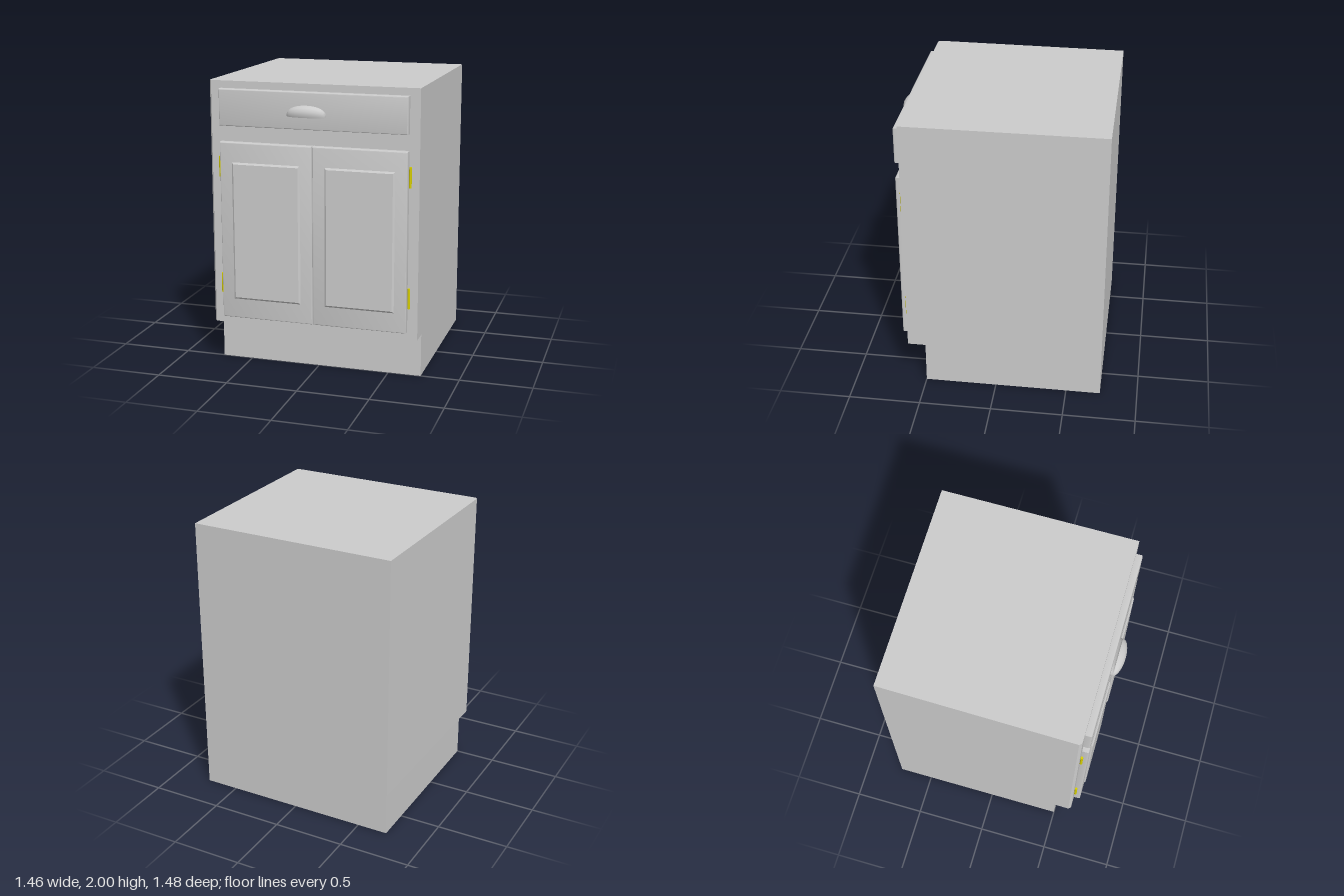
import * as THREE from 'three';
import { toCreasedNormals } from 'three/addons/utils/BufferGeometryUtils.js';

const grey = new THREE.MeshStandardMaterial({ color: 0xcccccc });
const yellow = new THREE.MeshStandardMaterial({ color: 0xd8d000 });

function part(name, geometry, material = grey) {
  const mesh = new THREE.Mesh(geometry, material);
  mesh.name = name;
  return mesh;
}

// Vertical prism from a floor plan given as [x, z] corners
function prism(plan, y0, y1) {
  const shape = new THREE.Shape(plan.map(([x, z]) => new THREE.Vector2(x, -z)));
  const geo = new THREE.ExtrudeGeometry(shape, { depth: y1 - y0, bevelEnabled: false });
  return geo.rotateX(-Math.PI / 2).translate(0, y0, 0);
}

// Upright slab whose front edge is bevelled; x0..y1 are its outer limits
function slab(x0, x1, y0, y1, z0, z1, inset, rise, segments) {
  const shape = new THREE.Shape([
    [x0 + inset, y0 + inset], [x1 - inset, y0 + inset],
    [x1 - inset, y1 - inset], [x0 + inset, y1 - inset],
  ].map(([x, y]) => new THREE.Vector2(x, y)));
  const geo = new THREE.ExtrudeGeometry(shape, {
    depth: z1 - z0 - 2 * rise, bevelSize: inset, bevelThickness: rise, bevelSegments: segments,
  });
  return toCreasedNormals(geo.translate(0, 0, z0 + rise), 0.6);
}

// Cup pull: cross-sections along x that shrink towards both ends
function pullGeometry() {
  const steps = 24, cx = -0.0225, halfWidth = 0.1325, y0 = 1.79;
  const positions = [], indices = [];
  let n = 0;
  for (let i = 0; i <= steps; i++) {
    const u = -Math.cos((i / steps) * Math.PI);
    const k = Math.max(0, 1 - u * u);
    const h = 0.012 + 0.063 * Math.pow(k, 0.4);
    const front = 0.694 + 0.046 * Math.pow(k, 0.6);
    const d = front - 0.685;
    const section = [
      [0.668, y0 + 0.006], [0.685, y0], [front - 0.1 * d, y0], [front, y0 + 0.2 * h],
      [front, y0 + 0.55 * h], [0.685 + 0.75 * d, y0 + 0.83 * h], [0.685 + 0.4 * d, y0 + 0.97 * h],
      [0.69, y0 + h], [0.684, y0 + 0.85 * h], [0.668, y0 + 0.75 * h],
    ];
    n = section.length;
    for (const [z, y] of section) positions.push(cx + u * halfWidth, y, z);
  }
  for (let i = 0; i < steps; i++) {
    for (let j = 0; j < n; j++) {
      const a = i * n + j, d = i * n + (j + 1) % n;
      indices.push(a, a + n, d + n, a, d + n, d);
    }
  }
  // End caps
  for (let j = 1; j < n - 1; j++) {
    const e = steps * n;
    indices.push(0, j, j + 1, e, e + j + 1, e + j);
  }
  const geo = new THREE.BufferGeometry();
  geo.setAttribute('position', new THREE.Float32BufferAttribute(positions, 3));
  geo.setIndex(indices);
  return toCreasedNormals(geo, 0.9);
}

export function createModel() {
  const model = new THREE.Group();
  model.name = 'baseCabinet';

  // Carcass, with one side slightly flared, over a recessed toe kick
  model.add(part('carcass', prism(
    [[-0.715, -0.74], [-0.73, 0.608], [-0.715, 0.625], [0.73, 0.625], [0.73, -0.74]], 0.3, 2)));
  model.add(part('toeKickBase', prism(
    [[-0.715, -0.74], [-0.715, 0.5], [0.73, 0.5], [0.73, -0.74]], 0, 0.3)));

  // Drawer front and its pull
  model.add(part('drawerFront', slab(-0.645, 0.66, 1.70, 1.95, 0.615, 0.672, 0.008, 0.01, 3)));
  model.add(part('drawerPull', pullGeometry()));

  // Two doors with raised centre panels and two hinges each
  const doors = [
    { side: 'right', x: -0.645, hinge: -0.657 },
    { side: 'left', x: 0.009, hinge: 0.670 },
  ];
  for (const { side, x, hinge } of doors) {
    const door = new THREE.Group();
    door.name = side + 'Door';
    door.add(part('doorFrame', slab(x, x + 0.651, 0.355, 1.59, 0.615, 0.672, 0.008, 0.01, 3)));
    door.add(part('raisedPanel', slab(x + 0.084, x + 0.571, 0.49, 1.457, 0.65, 0.682, 0.015, 0.012, 1)));
    for (const y of [0.59, 1.415]) {
      const pin = part('hinge', new THREE.CylinderGeometry(0.009, 0.009, 0.14, 12), yellow);
      pin.position.set(hinge, y, 0.633);
      door.add(pin);
    }
    model.add(door);
  }
  return model;
}
